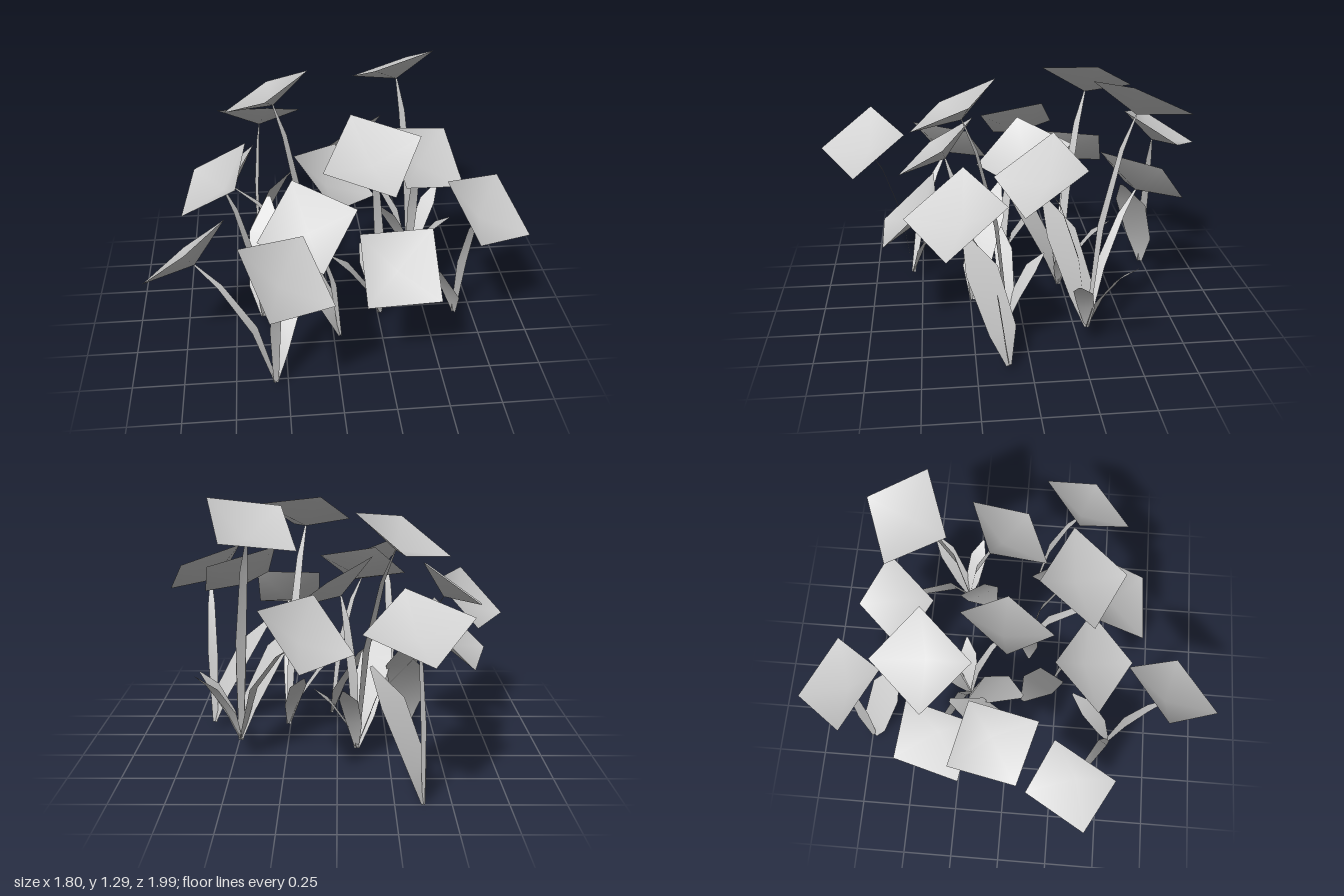
import * as THREE from 'three';

const material = new THREE.MeshStandardMaterial({ color: 0xcccccc, side: THREE.DoubleSide });
const HALF_DIAGONAL = 0.238;
const SINK = 0.08;
const rad = THREE.MathUtils.degToRad;

// Ribbon profiles: rows of [outward fraction, height fraction, width]
const STEM = [[0, 0, 0.025], [0.25, 0.5, 0.05], [0.68, 0.85, 0.035], [1, 1, 0.01]];
const NARROW = [[0, 0, 0.02], [0.22, 0.4, 0.08], [0.64, 0.8, 0.09], [1, 1, 0.01]];
const BROAD = [[0, 0, 0.03], [0.13, 0.3, 0.15], [0.58, 0.75, 0.175], [1, 1, 0.02]];

// Flowers; bearings run from +x towards +z, angles in degrees
const TALL = { bearing: 247, reach: 0.255, height: 1.09, downhill: 233, slope: 28, spin: -26 };
const MIDDLE = { bearing: 87, reach: 0.233, height: 0.79, downhill: 52, slope: 36, spin: -23 };
const LOW = { bearing: 223, reach: 0.457, height: 0.63, downhill: 225, slope: 43, spin: 43 };
const UPRIGHT = { bearing: -53, reach: 0.069, height: 0.82, downhill: 272, slope: 28, spin: -13 };

// Leaves
const SIDE_LEAF = { profile: NARROW, bearing: -47, reach: 0.26, height: 0.39 };
const SHORT_LEAF = { profile: NARROW, bearing: 20, reach: 0.21, height: 0.32 };
const BROAD_LEAF = { profile: BROAD, bearing: 160, reach: 0.35, height: 0.53 };
const BACK_LEAF = { profile: BROAD, bearing: 148, reach: 0.34, height: 0.56 };
const UPRIGHT_LEAF = { profile: BROAD, bearing: 38, reach: 0.29, height: 0.57 };

// Plants: each kind is turned about its own base
const FULL = { flowers: [TALL, MIDDLE, LOW], leaves: [SIDE_LEAF, SHORT_LEAF, BACK_LEAF] };
const SINGLE = { flowers: [MIDDLE], leaves: [BROAD_LEAF] };
const plants = [
  { base: [0.465, 0.1, -0.283], turn: 0, ...FULL },
  { base: [-0.095, 0.03, -0.225], turn: -28, ...FULL },
  { base: [-0.309, 0.03, 0.55], turn: -13, flowers: [MIDDLE, LOW], leaves: [SIDE_LEAF] },
  { base: [0.255, 0.03, 0.077], turn: -135, flowers: [TALL, LOW], leaves: [SIDE_LEAF, SHORT_LEAF] },
  { base: [0.03, 0.03, 0.24], turn: 49, ...SINGLE },
  { base: [0.648, 0.03, 0.104], turn: -11.5, ...SINGLE },
  { base: [-0.357, 0.03, 0.055], turn: 119, ...SINGLE },
  { base: [-0.376, 0, -0.74], turn: 0, flowers: [UPRIGHT], leaves: [UPRIGHT_LEAF] },
];

// Point or direction from a bearing, a level distance and a height
function polar(bearing, reach, height) {
  const a = rad(bearing);
  return new THREE.Vector3(reach * Math.cos(a), height, reach * Math.sin(a));
}

function mesh(name, points, index) {
  const geometry = new THREE.BufferGeometry().setFromPoints(points);
  geometry.setIndex(index);
  geometry.computeVertexNormals();
  const m = new THREE.Mesh(geometry, material);
  m.name = name;
  return m;
}

// Bent ribbon from the plant's base to a tip, level across its width
function ribbon(name, tip, profile) {
  const side = new THREE.Vector3(-tip.z, 0, tip.x).normalize();
  const points = [], index = [];
  profile.forEach(([out, up, width], i) => {
    const p = new THREE.Vector3(tip.x * out, tip.y * up, tip.z * out);
    points.push(p.clone().addScaledVector(side, -width / 2), p.clone().addScaledVector(side, width / 2));
    if (i > 0) {
      const k = 2 * i;
      index.push(k - 2, k - 1, k, k - 1, k + 1, k);
    }
  });
  return mesh(name, points, index);
}

// Tilted square flower, sunk in the middle where the stem meets it
function flower({ bearing, reach, height, downhill, slope, spin }) {
  const centre = polar(bearing, reach, height);
  const fall = polar(downhill, Math.cos(rad(slope)), -Math.sin(rad(slope)));
  const level = polar(downhill + 90, 1, 0);
  const normal = level.clone().cross(fall);
  const heart = centre.clone().addScaledVector(normal, -SINK);
  const points = [heart], index = [];
  for (let i = 0; i < 4; i++) {
    const a = rad(spin - 90 * i);
    points.push(centre.clone()
      .addScaledVector(fall, HALF_DIAGONAL * Math.cos(a))
      .addScaledVector(level, HALF_DIAGONAL * Math.sin(a)));
    index.push(0, i + 1, (i + 1) % 4 + 1);
  }
  const group = new THREE.Group();
  group.name = 'flower';
  group.add(mesh('flowerHead', points, index), ribbon('stem', heart, STEM));
  return group;
}

export function createModel() {
  const model = new THREE.Group();
  model.name = 'flowerPatch';
  for (const { base, turn, flowers, leaves } of plants) {
    const plant = new THREE.Group();
    plant.name = 'plant';
    plant.position.set(...base);
    plant.rotation.y = -rad(turn);
    for (const f of flowers) plant.add(flower(f));
    for (const { profile, bearing, reach, height } of leaves) {
      plant.add(ribbon('leaf', polar(bearing, reach, height), profile));
    }
    model.add(plant);
  }
  return model;
}
